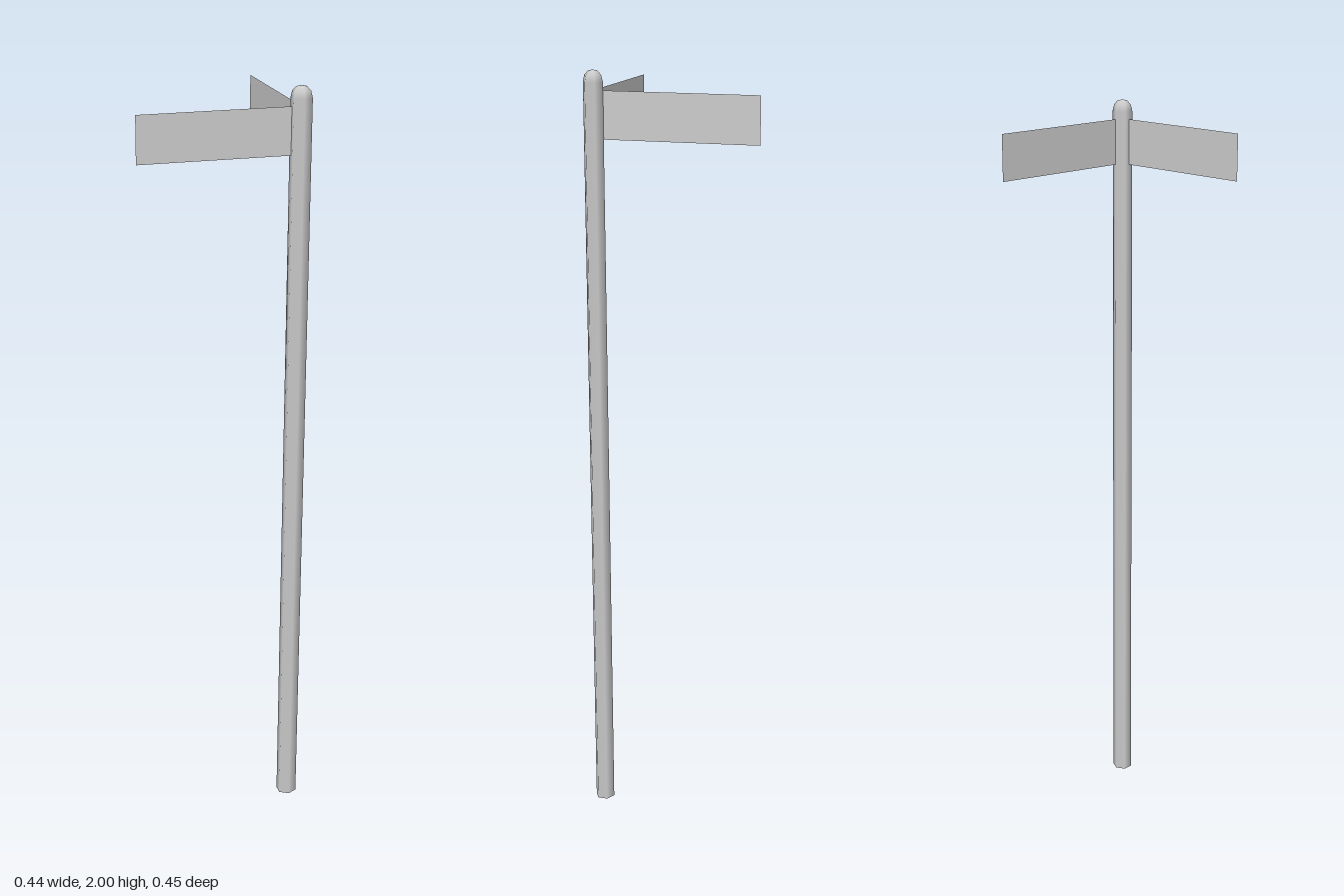
import * as THREE from 'three';

export function createModel() {
  const group = new THREE.Group();
  const material = new THREE.MeshStandardMaterial({ color: 0xcccccc, side: THREE.DoubleSide });
  const poleX = 0.194, poleZ = 0.2;

  // Six-sided hollow pole with a rounded cap, corners facing front and back
  const profile = [
    [0.026, 0], [0.026, 1.97], [0.022, 1.987], [0.013, 1.997], [0, 2],
  ].map(([r, y]) => new THREE.Vector2(r, y));
  const pole = new THREE.Mesh(new THREE.LatheGeometry(profile, 6), material);
  pole.name = 'pole';
  pole.scale.x = 1.07;
  pole.position.set(poleX, 0, poleZ);
  group.add(pole);

  // Thin sign blades, at a right angle to each other
  function addBlade(name, length, x, z, turn) {
    const blade = new THREE.Mesh(new THREE.PlaneGeometry(length, 0.12), material);
    blade.name = name;
    blade.position.set(x, 1.89, z);
    blade.rotation.y = turn;
    group.add(blade);
  }
  addBlade('rightSign', 0.388, -0.024, poleZ, 0);
  addBlade('backSign', 0.401, poleX, -0.0255, Math.PI / 2);

  return group;
}
